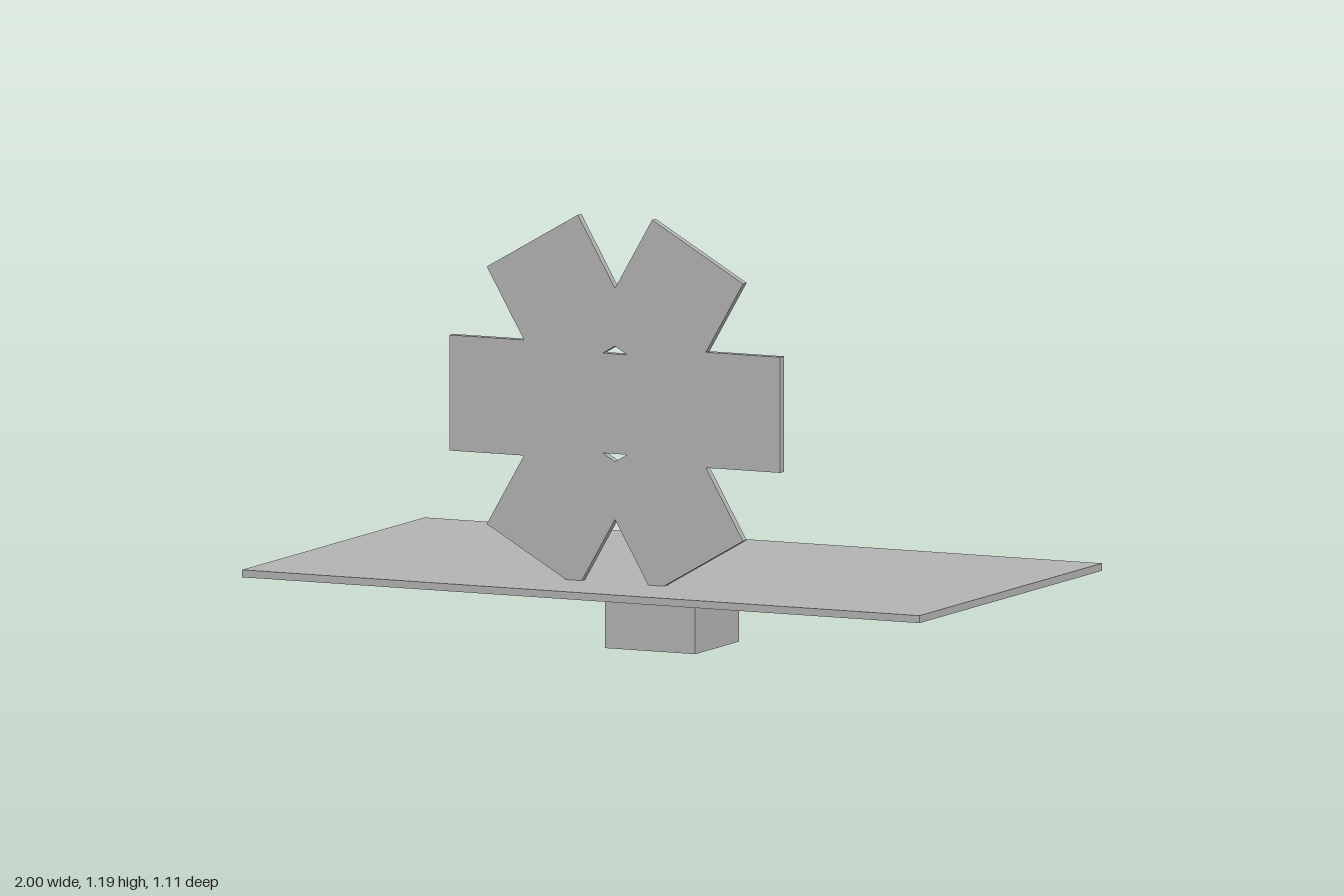
import * as THREE from 'three';

export function createModel() {
  const model = new THREE.Group();
  const grey = new THREE.MeshStandardMaterial({ color: 0xb3b3b3 });
  grey.name = 'plain grey';

  const addBox = (parent, name, size, position) => {
    const mesh = new THREE.Mesh(new THREE.BoxGeometry(...size), grey);
    mesh.name = name;
    mesh.position.set(...position);
    parent.add(mesh);
    return mesh;
  };

  // Wide board above a small foot block
  addBox(model, 'footBlock', [0.266, 0.18, 0.266], [0, 0.09, 0]);
  addBox(model, 'board', [2, 0.02, 1.11], [0, 0.2, 0]);

  // Upright flower: square hub with six flat petals starting at its edge
  const flower = new THREE.Group();
  flower.name = 'flower';
  flower.position.set(0, 0.69, 0.336);
  model.add(flower);

  const inner = 0.134, outer = 0.488, width = 0.31, depth = 0.022;
  addBox(flower, 'hub', [inner * 2, inner * 2, depth], [0, 0, 0]);
  for (let i = 0; i < 6; i++) {
    const angle = i * Math.PI / 3;
    const r = (inner + outer) / 2;
    const petal = addBox(flower, 'petal' + (i + 1), [outer - inner, width, depth],
      [r * Math.cos(angle), r * Math.sin(angle), 0]);
    petal.rotation.z = angle;
  }
  return model;
}
